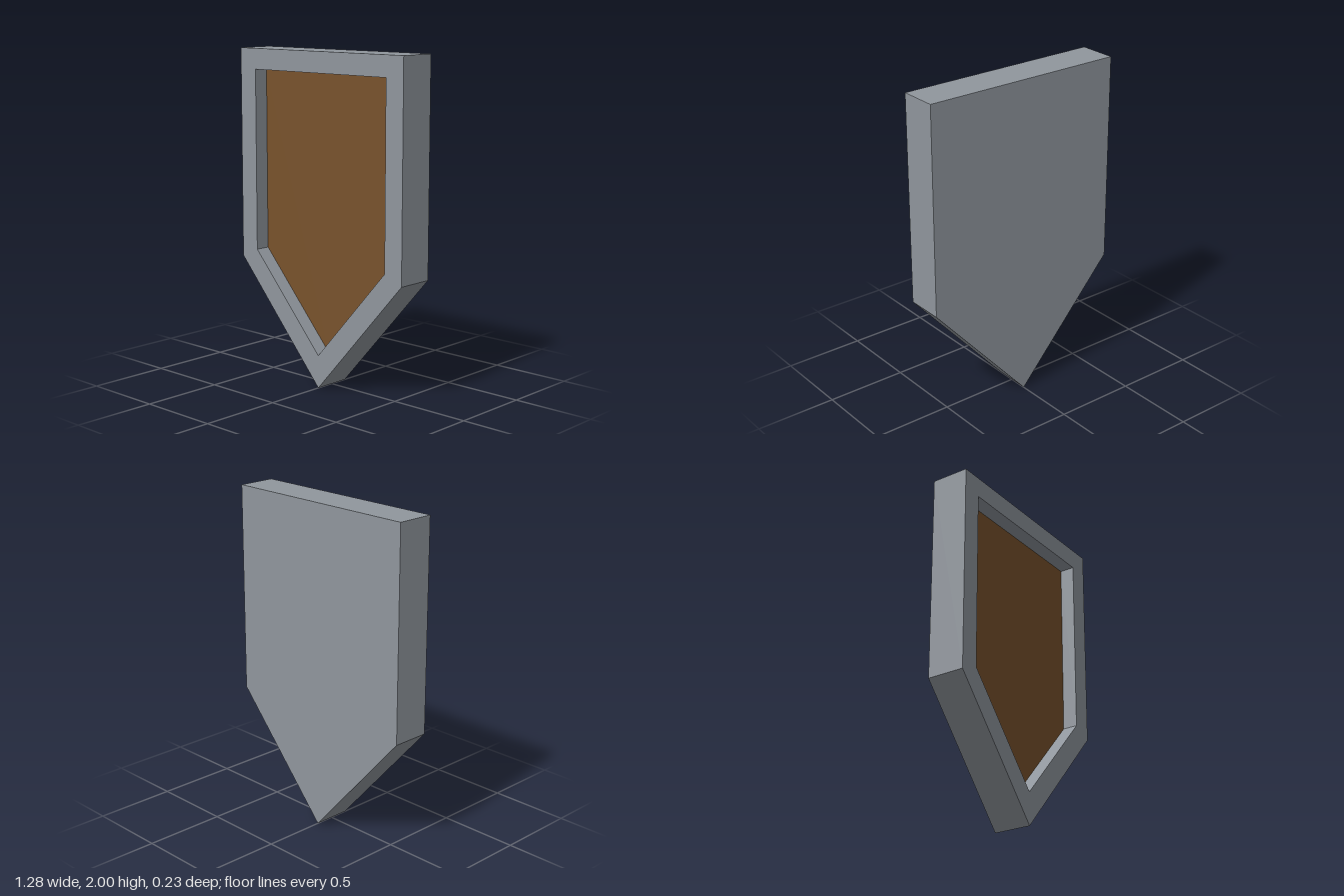
import * as THREE from 'three';

const HALF_DEPTH = 0.117;
const FLOOR_Z = 0.025;

// Pentagonal outline, counter-clockwise from the bottom tip
const pentagon = (halfWidth, tip, shoulder, top) => [
  [0, tip], [halfWidth, shoulder], [halfWidth, top], [-halfWidth, top], [-halfWidth, shoulder],
];
const ring = (outline, z) => outline.map(([x, y]) => [x, y, z]);

// Flat cap over a convex ring, facing +z
const cap = (r) => {
  const tris = [];
  for (let i = 1; i < r.length - 1; i++) tris.push(r[0], r[i], r[i + 1]);
  return tris;
};

// Flat-sided skin joining consecutive rings
const skin = (rings) => {
  const tris = [];
  for (let k = 0; k < rings.length - 1; k++) {
    const a = rings[k], b = rings[k + 1];
    a.forEach((p, i) => {
      const j = (i + 1) % a.length;
      tris.push(p, a[j], b[j], p, b[j], b[i]);
    });
  }
  return tris;
};

function makeMesh(name, tris, material) {
  const geometry = new THREE.BufferGeometry();
  geometry.setAttribute('position', new THREE.Float32BufferAttribute(tris.flat(), 3));
  geometry.computeVertexNormals();
  const mesh = new THREE.Mesh(geometry, material);
  mesh.name = name;
  return mesh;
}

export function createModel() {
  const steel = new THREE.MeshStandardMaterial({ name: 'steel grey', color: 0x90969d });
  const wood = new THREE.MeshStandardMaterial({ name: 'wood brown', color: 0x78522c });

  const outer = pentagon(0.64, 0, 0.72, 2);
  const inner = pentagon(0.515, 0.2, 0.775, 1.875);

  // Back, outer sides, front rim and the walls of the recess
  const rings = [
    ring(outer, -HALF_DEPTH), ring(outer, HALF_DEPTH),
    ring(inner, HALF_DEPTH), ring(inner, FLOOR_Z),
  ];
  const back = cap(rings[0]).reverse();

  const group = new THREE.Group();
  group.name = 'shield';
  group.add(makeMesh('metalFrame', [...back, ...skin(rings)], steel));

  // Recessed front panel
  group.add(makeMesh('woodPanel', cap(rings[3]), wood));
  return group;
}
